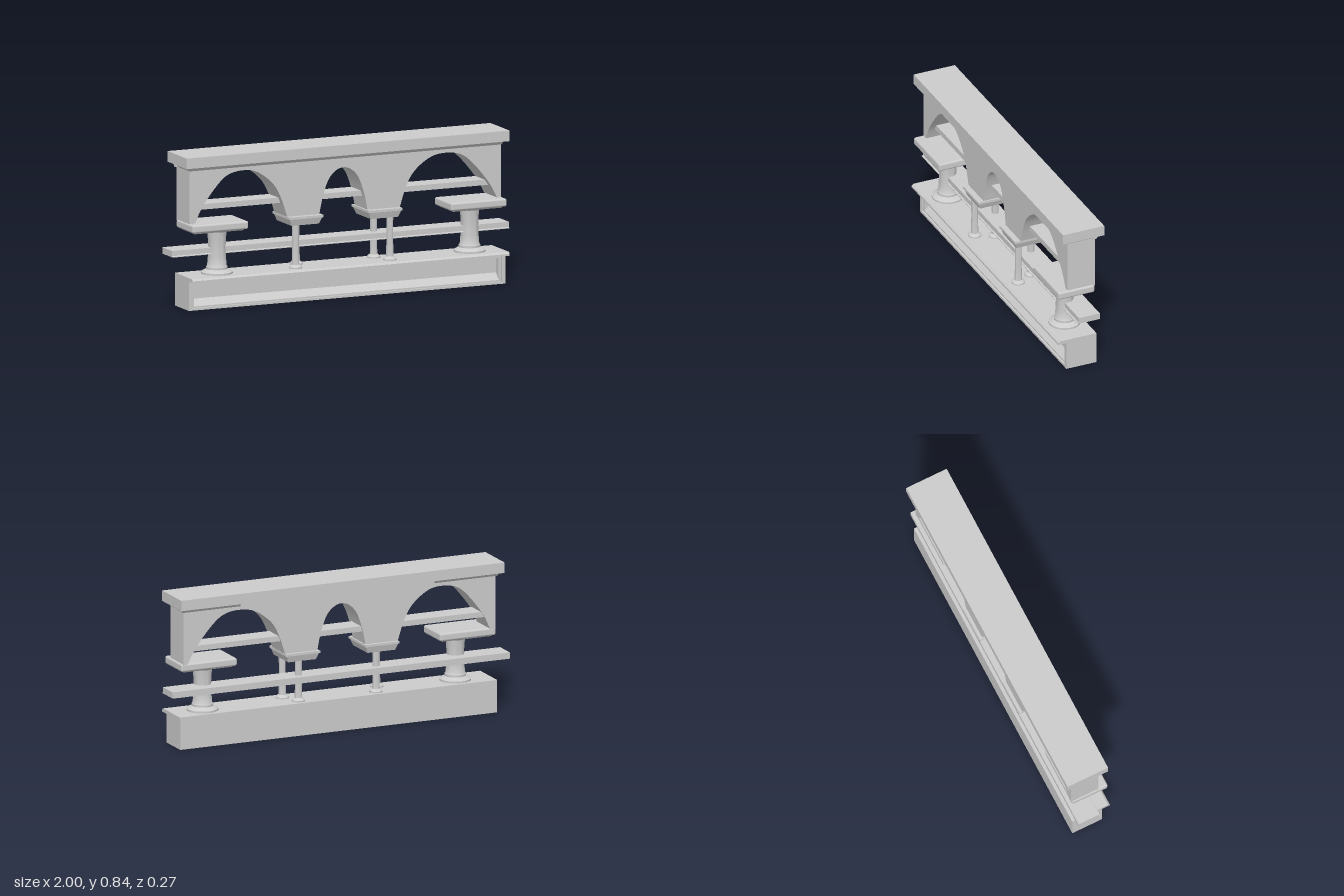
import * as THREE from 'three';
import { toCreasedNormals } from 'three/addons/utils/BufferGeometryUtils.js';
import { RoundedBoxGeometry } from 'three/addons/geometries/RoundedBoxGeometry.js';

const material = new THREE.MeshStandardMaterial({ color: 0xcccccc });

function add(parent, name, geometry) {
  const mesh = new THREE.Mesh(geometry, material);
  mesh.name = name;
  parent.add(mesh);
  return mesh;
}

// Box given by its limits; the bottom face is drawn in by dx, dz
function block(x0, x1, y0, y1, z0, z1, dx = 0, dz = 0) {
  const g = new THREE.BoxGeometry(x1 - x0, y1 - y0, z1 - z0);
  const p = g.attributes.position;
  for (let i = 0; i < p.count; i++) {
    if (p.getY(i) < 0) {
      p.setX(i, p.getX(i) - Math.sign(p.getX(i)) * dx);
      p.setZ(i, p.getZ(i) - Math.sign(p.getZ(i)) * dz);
    }
  }
  g.translate((x0 + x1) / 2, (y0 + y1) / 2, (z0 + z1) / 2);
  g.computeVertexNormals();
  return g;
}

// Section of [z, y] points run along x
function alongX(points, x0, x1) {
  const shape = new THREE.Shape(points.map(([z, y]) => new THREE.Vector2(z, y)));
  const g = new THREE.ExtrudeGeometry(shape, { depth: x1 - x0, bevelEnabled: false });
  return g.rotateY(-Math.PI / 2).translate(x1, 0, 0);
}

// Turned column from [radius, y] points
function turned(points, x, z) {
  const g = new THREE.LatheGeometry(points.map(([r, y]) => new THREE.Vector2(r, y)), 32);
  return toCreasedNormals(g, 0.6).translate(x, 0, z);
}

function rectangle(Type, x0, x1, y0, y1) {
  return new Type([[x0, y0], [x1, y0], [x1, y1], [x0, y1]].map(([x, y]) => new THREE.Vector2(x, y)));
}

function createBase() {
  const base = new THREE.Group();
  base.name = 'base';
  const x0 = -0.925, x1 = 0.955;
  add(base, 'baseBody', block(x0, x1, 0, 0.17, -0.091, 0.04));
  // Front frame around the sunken panel, in two steps
  [[0.04, 0.04, 0.02, 0.14], [0.075, 0.012, 0.012, 0.152]].forEach(([z, depth, y0, y1], i) => {
    const inset = i ? 0.022 : 0.035;
    const frame = rectangle(THREE.Shape, x0, x1, 0, 0.17);
    frame.holes.push(rectangle(THREE.Path, x0 + inset, x1 - inset, y0, y1));
    const g = new THREE.ExtrudeGeometry(frame, { depth: depth - (i ? 0 : 0.005), bevelEnabled: false });
    add(base, 'panelFrame', g.translate(0, 0, z));
  });
  add(base, 'panelSill', alongX([[0.04, 0.02], [0.075, 0.02], [0.04, 0.056]], x0 + 0.035, x1 - 0.035));
  add(base, 'ledge', alongX(
    [[-0.091, 0.16], [0.135, 0.16], [0.135, 0.17], [0.125, 0.18], [-0.091, 0.18]], x0, x1 + 0.002));
  return base;
}

function createWall() {
  const v = (x, y) => new THREE.Vector2(x, y);
  const arches = [
    [[-0.88, 0.47], [-0.84, 0.555], [-0.755, 0.665], [-0.685, 0.724], [-0.594, 0.741],
      [-0.51, 0.724], [-0.42, 0.655], [-0.37, 0.57], [-0.333, 0.46]],
    [[-0.144, 0.46], [-0.124, 0.553], [-0.091, 0.645], [-0.048, 0.694], [0, 0.71],
      [0.048, 0.694], [0.091, 0.645], [0.124, 0.553], [0.144, 0.46]],
    [[0.333, 0.46], [0.37, 0.57], [0.42, 0.655], [0.515, 0.724], [0.61, 0.741],
      [0.7, 0.724], [0.775, 0.665], [0.865, 0.555], [0.912, 0.47]],
  ];
  const outline = [v(-0.914, 0.785), v(-0.914, 0.465)];
  for (const arch of arches) {
    outline.push(...new THREE.SplineCurve(arch.map(([x, y]) => v(x, y))).getPoints(40));
  }
  outline.push(v(0.936, 0.465), v(0.936, 0.785));
  const g = new THREE.ExtrudeGeometry(new THREE.Shape(outline), { depth: 0.164, bevelEnabled: false });
  return toCreasedNormals(g.translate(0, 0, -0.093), 0.5);
}

export function createModel() {
  const model = new THREE.Group();
  model.name = 'arcade';
  model.add(createBase());

  // Arched wall, moulding and top slab
  add(model, 'archedWall', createWall());
  add(model, 'topMoulding', block(-0.928, 0.95, 0.76, 0.786, -0.094, 0.092, 0.014, 0.02));
  for (const [x0, x1] of [[-0.928, -0.55], [0.6, 0.95]]) {
    add(model, 'backMoulding', alongX([[-0.113, 0.786], [-0.093, 0.76], [-0.08, 0.76], [-0.08, 0.786]], x0, x1));
  }
  add(model, 'topSlab', block(-0.95, 0.968, 0.782, 0.84, -0.132, 0.112));

  // Long rails
  add(model, 'upperRail', block(-0.87, 0.9, 0.537, 0.567, -0.085, 0.033));
  add(model, 'lowerRail', alongX(
    [[-0.091, 0.29], [0.041, 0.29], [0.041, 0.294], [0.033, 0.297], [0.033, 0.325], [-0.091, 0.325]], -1, 1));

  // Stout end columns with wide caps
  const stout = [[0, 0.175], [0.086, 0.175], [0.086, 0.19], [0.076, 0.195], [0.068, 0.2], [0.058, 0.205],
    [0.058, 0.217], [0.053, 0.224], [0.049, 0.27], [0.047, 0.32], [0.049, 0.37], [0.053, 0.41],
    [0.06, 0.415], [0.06, 0.425], [0, 0.425]];
  for (const [x, capX] of [[-0.725, -0.754], [0.775, 0.78]]) {
    add(model, 'endColumn', turned(stout, x, 0.014));
    add(model, 'endCapUnderside', block(capX - 0.155, capX + 0.155, 0.42, 0.435, -0.075, 0.115, 0.012, 0.012));
    const cap = add(model, 'endCap', new RoundedBoxGeometry(0.332, 0.044, 0.214, 3, 0.011));
    cap.position.set(capX, 0.45, 0.02);
  }

  // Slender paired columns under the middle capitals
  const slender = [[0, 0.175], [0.036, 0.175], [0.036, 0.187], [0.028, 0.195], [0.021, 0.2], [0.02, 0.21],
    [0.018, 0.3], [0.019, 0.425], [0, 0.425]];
  for (const side of [-1, 1]) {
    add(model, 'frontColumn', turned(slender, side * 0.28, 0.06));
    add(model, 'backColumn', turned(slender, side * 0.23, -0.038));
    const c = side * 0.235;
    add(model, 'capital', block(c - 0.096, c + 0.096, 0.417, 0.455, -0.108, 0.1, 0.014, 0.012));
    add(model, 'capitalTop', block(c - 0.101, c + 0.101, 0.453, 0.466, -0.111, 0.104));
  }
  return model;
}
